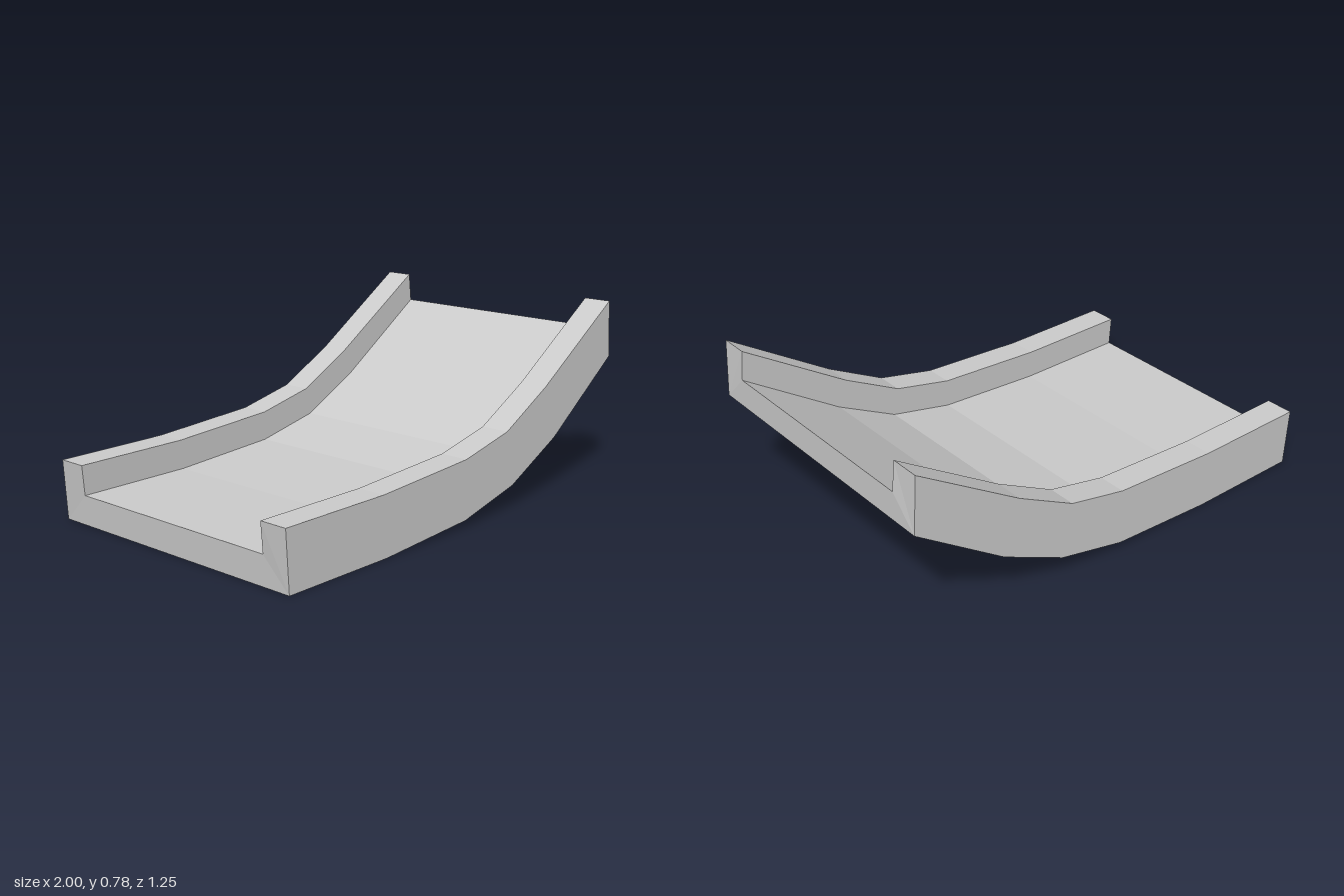
import * as THREE from 'three';

// Stations along the ramp: [x, y] at underside, deck and rail top
const stations = [
  [[-0.985, 0], [-0.99, 0.125], [-1, 0.25]],
  [[-0.47, 0], [-0.48, 0.125], [-0.49, 0.25]],
  [[0, 0.03], [0, 0.155], [0, 0.28]],
  [[0.31, 0.105], [0.29, 0.22], [0.265, 0.34]],
  [[0.6, 0.25], [0.565, 0.365], [0.525, 0.48]],
  [[1, 0.535], [0.998, 0.656], [0.985, 0.78]],
];

// U-shaped cross-section: [z, level], level 0 underside, 1 deck, 2 rail top
const outer = 0.623, inner = 0.5;
const section = [
  [outer, 0], [-outer, 0], [-outer, 2], [-inner, 2],
  [-inner, 1], [inner, 1], [inner, 2], [outer, 2],
];

function loftChannel() {
  const n = section.length, last = (stations.length - 1) * n;
  const positions = [], index = [];
  for (const station of stations) {
    for (const [z, level] of section) positions.push(...station[level], z);
  }
  // Long faces between neighbouring stations
  for (let i = 0; i < last; i += n) {
    for (let j = 0; j < n; j++) {
      const k = (j + 1) % n;
      const a = i + j, b = i + k, c = i + n + k, d = i + n + j;
      index.push(a, b, c, a, c, d);
    }
  }
  // End caps
  const outline = section.map(([z, level]) => new THREE.Vector2(-z, level));
  for (const [a, b, c] of THREE.ShapeUtils.triangulateShape(outline, [])) {
    index.push(a, c, b, last + a, last + b, last + c);
  }
  const indexed = new THREE.BufferGeometry();
  indexed.setAttribute('position', new THREE.Float32BufferAttribute(positions, 3));
  indexed.setIndex(index);
  const geometry = indexed.toNonIndexed();
  geometry.computeVertexNormals();
  return geometry;
}

export function createModel() {
  const group = new THREE.Group();
  group.name = 'curvedRamp';
  const material = new THREE.MeshStandardMaterial({ color: 0xcccccc, flatShading: true });

  // Deck with a raised rail along each side, in one piece
  const channel = new THREE.Mesh(loftChannel(), material);
  channel.name = 'deckWithSideRails';
  group.add(channel);
  return group;
}
